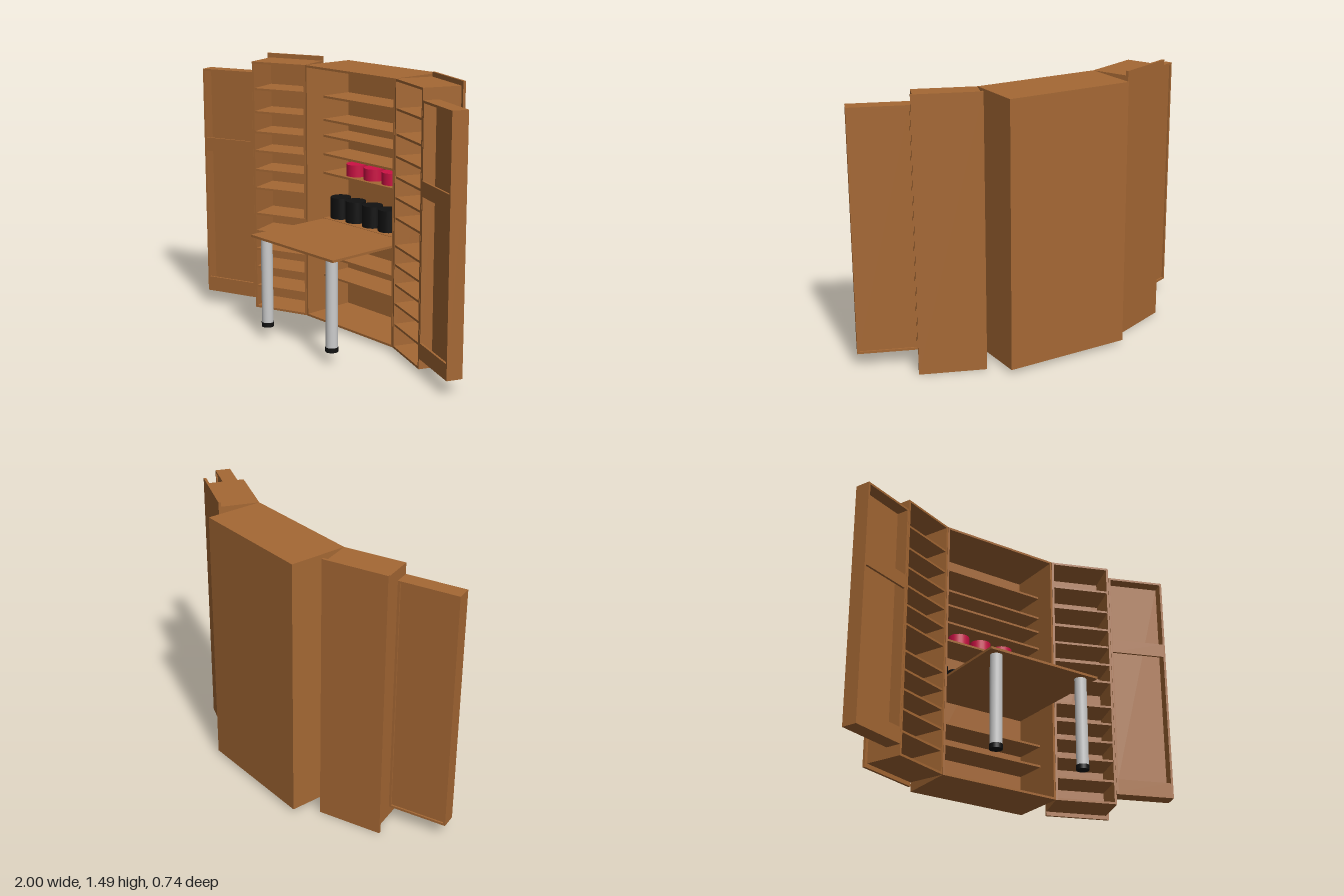
import * as THREE from 'three';

const wood = new THREE.MeshStandardMaterial({ color: 0xa56834 });
wood.name = 'wood';
const black = new THREE.MeshStandardMaterial({ color: 0x111111 });
black.name = 'black';
const crimson = new THREE.MeshStandardMaterial({ color: 0xcc1144 });
crimson.name = 'crimson';
const steel = new THREE.MeshStandardMaterial({ color: 0xcccccc });
steel.name = 'steel';

const T = 0.012; // board thickness

// Board given by its min/max extents; side mirrors it in x
function board(parent, name, x0, x1, y0, y1, z0, z1, side = 1) {
  const m = new THREE.Mesh(new THREE.BoxGeometry(x1 - x0, y1 - y0, z1 - z0), wood);
  m.position.set(side * (x0 + x1) / 2, (y0 + y1) / 2, (z0 + z1) / 2);
  m.name = name;
  parent.add(m);
}

function cylinder(parent, name, material, r, y0, y1, x, z) {
  const m = new THREE.Mesh(new THREE.CylinderGeometry(r, r, y1 - y0, 24), material);
  m.position.set(x, (y0 + y1) / 2, z);
  m.name = name;
  parent.add(m);
}

// Open carcass: two sides, top, bottom and back
function carcass(parent, x0, x1, y0, y1, z0, z1, side = 1) {
  board(parent, 'sidePanel', x0, x0 + T, y0, y1, z0, z1, side);
  board(parent, 'sidePanel', x1 - T, x1, y0, y1, z0, z1, side);
  board(parent, 'topPanel', x0 + T, x1 - T, y1 - T, y1, z0, z1, side);
  board(parent, 'bottomPanel', x0 + T, x1 - T, y0, y0 + T, z0, z1, side);
  board(parent, 'backPanel', x0 + T, x1 - T, y0 + T, y1 - T, z0, z0 + T, side);
}

function createCentre() {
  const g = new THREE.Group();
  g.name = 'centreCabinet';
  const front = -0.047, back = -0.367;
  carcass(g, -0.351, 0.351, 0.022, 1.46, back, front);
  for (const y of [1.275, 1.145, 1.055, 0.95, 0.843, 0.576, 0.36, 0.243])
    board(g, 'shelf', -0.339, 0.339, y - T / 2, y + T / 2, back + T, front - 0.12);

  // Containers on the shelves
  for (const x of [-0.28, -0.155, -0.018, 0.108, 0.252])
    cylinder(g, 'blackPot', black, 0.058, 0.582, 0.703, x, -0.245);
  for (const x of [-0.148, -0.007, 0.134])
    cylinder(g, 'redTin', crimson, 0.058, 0.849, 0.915, x, -0.245);
  return g;
}

function createDesk() {
  const g = new THREE.Group();
  g.name = 'foldOutDesk';
  board(g, 'deskTop', -0.333, 0.333, 0.567, 0.58, -0.167, 0.36);
  for (const x of [-0.267, 0.262]) {
    cylinder(g, 'deskLeg', steel, 0.032, 0.09, 0.567, x, 0.305);
    cylinder(g, 'deskFoot', black, 0.034, 0.065, 0.09, x, 0.305);
  }
  return g;
}

// Angled side cabinet with its opened door
function createWing(side) {
  const g = new THREE.Group();
  g.name = side > 0 ? 'leftWing' : 'rightWing';
  const W = 0.338, D = 0.205;
  carcass(g, 0, W, 0.022, 1.46, -D, 0, side);
  for (const y of [1.305, 1.175, 1.06, 0.952, 0.842, 0.735, 0.585, 0.482, 0.375, 0.268, 0.152])
    board(g, 'wingShelf', T, W - T, y - T / 2, y + T / 2, -D + T, -0.004, side);
  board(g, 'backPlate', 0, 0.356, 0, 1.485, -D - 0.014, -D, side);

  // Door: deep frame, recessed panel and front rails
  const d = new THREE.Group();
  d.name = 'door';
  const a = W + 0.001, b = W + 0.325, y0 = 0.08, y1 = 1.4, z0 = -0.085;
  board(d, 'doorStile', a, a + T, y0, y1, z0, 0, side);
  board(d, 'doorStile', b - T, b, y0, y1, z0, 0, side);
  board(d, 'doorTop', a + T, b - T, y1 - T, y1, z0, 0, side);
  board(d, 'doorBottom', a + T, b - T, y0, y0 + T, z0, 0, side);
  board(d, 'doorPanel', a + T, b - T, y0 + T, y1 - T, z0 + 0.009, z0 + 0.018, side);
  board(d, 'doorRail', a + T, b - T, 0.925, 1.003, -T, 0, side);
  board(d, 'doorRail', a + T, b - T, y0 + T, 0.165, -T, 0, side);
  g.add(d);

  g.position.set(side * 0.352, 0, -0.047);
  g.rotation.y = -side * THREE.MathUtils.degToRad(21.2);
  return g;
}

export function createModel() {
  const model = new THREE.Group();
  model.name = 'fanCabinet';
  const body = new THREE.Group();
  body.name = 'cabinetBody';
  body.add(createCentre(), createDesk(), createWing(1), createWing(-1));
  body.position.x = -0.005;
  body.rotation.y = -0.012;
  model.add(body);
  return model;
}
